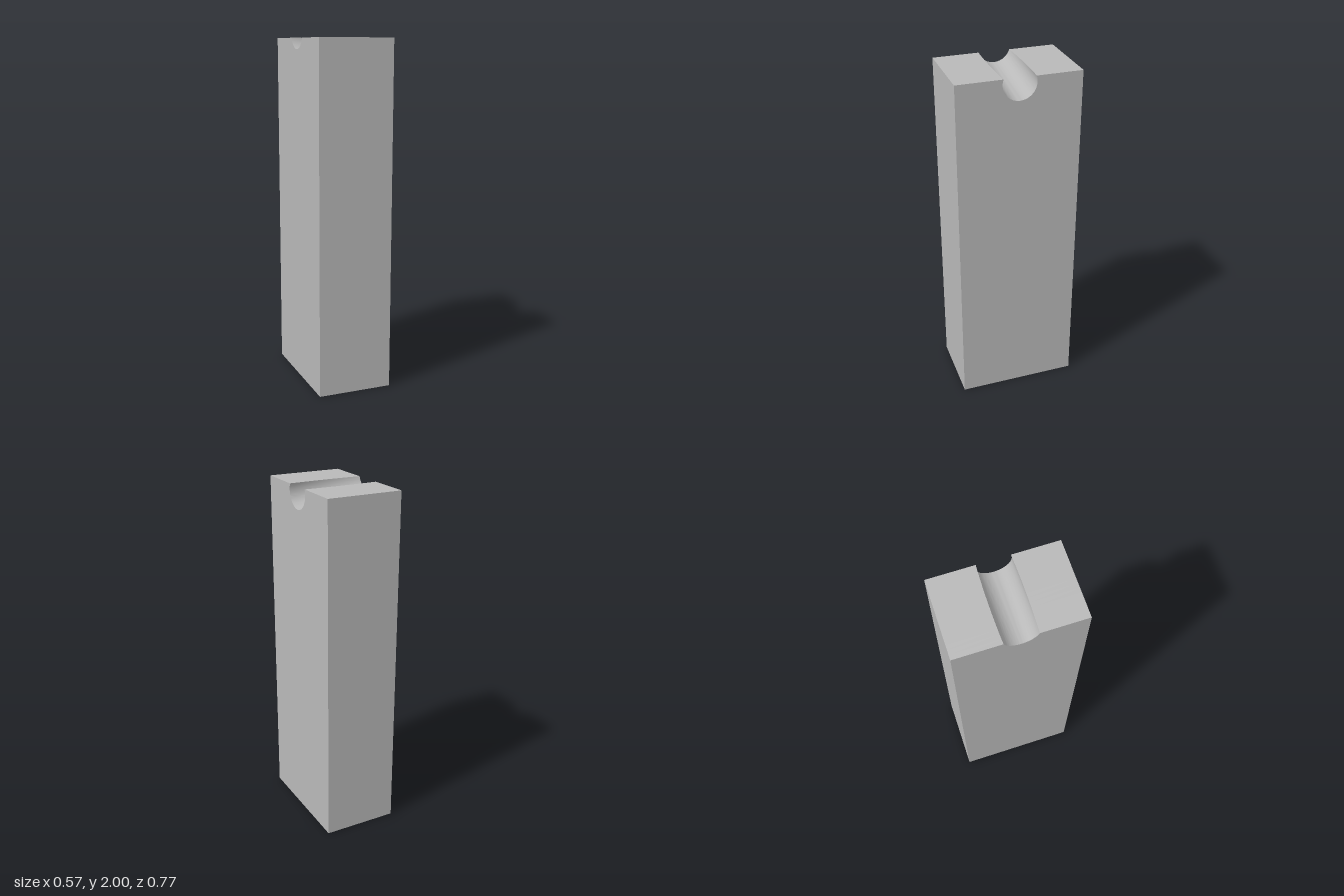
import * as THREE from 'three';
import { toCreasedNormals } from 'three/addons/utils/BufferGeometryUtils.js';

const LENGTH = 0.434;  // thickness along the groove
const HALF = 0.348;    // half width across the groove
const TOP = 2;
const RADIUS = 0.0945; // groove radius
const RISE = 0.031;    // groove axis lies this far below / above the top at its ends
const SECTIONS = 16;
const ARC = 40;

// Outline (z, y) of the post at position t, from -1 to 1 along the groove
function outline(t) {
  const axisY = TOP - RISE * t;
  const lip = Math.asin((TOP - axisY) / RADIUS);
  const points = [[-HALF, 0], [HALF, 0], [HALF, TOP]];
  for (let i = 0; i <= ARC; i++) {
    const a = lip - (Math.PI + 2 * lip) * (i / ARC);
    points.push([RADIUS * Math.cos(a), axisY + RADIUS * Math.sin(a)]);
  }
  points.push([-HALF, TOP]);
  return points.map(([z, y]) => new THREE.Vector2(z, y));
}

// Solid lofted through the outlines, closed by a cap at each end
function postGeometry() {
  const positions = [];
  const index = [];
  const count = ARC + 5;
  for (let s = 0; s <= SECTIONS; s++) {
    const t = (2 * s) / SECTIONS - 1;
    for (const p of outline(t)) positions.push((t * LENGTH) / 2, p.y, p.x);
  }
  for (let s = 0; s < SECTIONS; s++) {
    for (let i = 0; i < count; i++) {
      const a = s * count + i;
      const b = s * count + ((i + 1) % count);
      index.push(a, a + count, b, b, a + count, b + count);
    }
  }
  const last = SECTIONS * count;
  for (const [a, b, c] of THREE.ShapeUtils.triangulateShape(outline(-1), [])) index.push(a, b, c);
  for (const [a, b, c] of THREE.ShapeUtils.triangulateShape(outline(1), [])) {
    index.push(last + a, last + c, last + b);
  }
  const geometry = new THREE.BufferGeometry();
  geometry.setAttribute('position', new THREE.Float32BufferAttribute(positions, 3));
  geometry.setIndex(index);
  return toCreasedNormals(geometry, 0.6);
}

export function createModel() {
  const group = new THREE.Group();
  group.name = 'groovedPost';
  const grey = new THREE.MeshStandardMaterial({ color: 0xb8b8b8 });
  grey.name = 'light grey';

  // Upright post with a sloping round groove across its top
  const post = new THREE.Mesh(postGeometry(), grey);
  post.name = 'post';
  post.rotation.y = -THREE.MathUtils.degToRad(12);
  group.add(post);
  return group;
}
